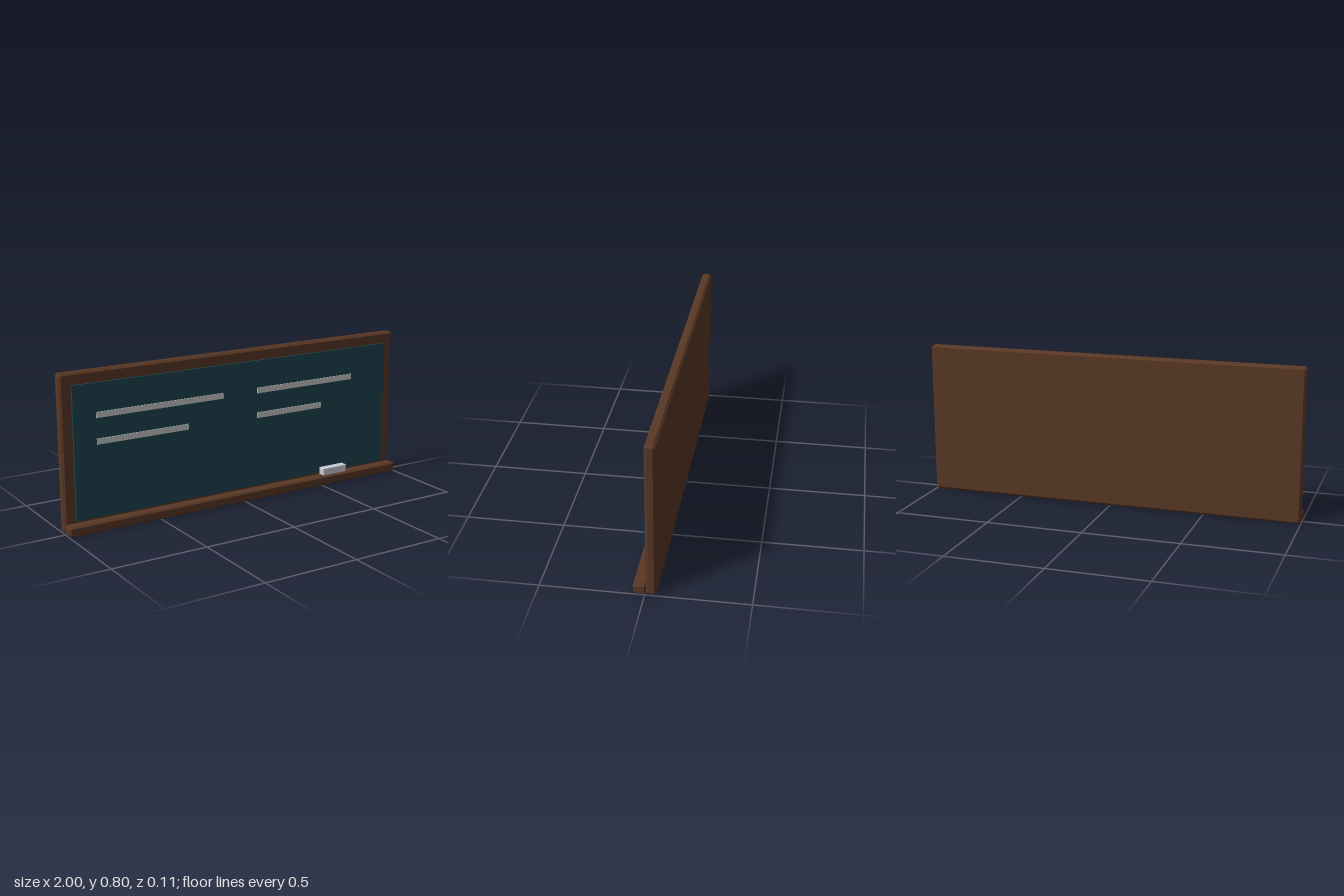
import * as THREE from 'three';
import { ConvexGeometry } from 'three/addons/geometries/ConvexGeometry.js';

const mat = (color) => new THREE.MeshStandardMaterial({ color, flatShading: true });

// Box with all twelve edges chamfered by c, given its min and max corners
function chamferBox(min, max, c) {
  const half = max.map((v, i) => (v - min[i]) / 2);
  const points = [];
  for (const sx of [-1, 1]) for (const sy of [-1, 1]) for (const sz of [-1, 1]) {
    for (let face = 0; face < 3; face++) {
      const p = [sx, sy, sz].map((s, i) => s * (half[i] - (i === face ? 0 : c)));
      points.push(new THREE.Vector3(...p));
    }
  }
  return new ConvexGeometry(points);
}

export function createModel() {
  const group = new THREE.Group();
  const wood = mat(0x5a3825);
  const slate = mat(0x1c4650);
  const chalk = mat(0xe8e8e8);
  const felt = mat(0xccccd6);

  const add = (name, material, min, max, chamfer = 0) => {
    const size = max.map((v, i) => v - min[i]);
    const geometry = chamfer ? chamferBox(min, max, chamfer) : new THREE.BoxGeometry(...size);
    const mesh = new THREE.Mesh(geometry, material);
    mesh.name = name;
    mesh.position.set(...min.map((v, i) => (v + max[i]) / 2));
    group.add(mesh);
  };

  // Solid wooden backing whose border shows as the frame
  add('frame', wood, [-1, 0, -0.056], [1, 0.797, -0.005], 0.011);
  // Writing surface
  add('board', slate, [-0.94, 0.06, -0.007], [0.94, 0.737, 0.006]);
  // Chalk tray along the bottom
  add('tray', wood, [-1, 0, -0.005], [1, 0.051, 0.056], 0.008);
  // Eraser resting on the tray
  add('eraser', felt, [0.51, 0.051, 0.006], [0.665, 0.092, 0.046], 0.003);

  // Chalk lines: left end, right end, centre height
  const lines = [
    [-0.82, -0.105, 0.578],
    [-0.82, -0.31, 0.445],
    [0.1, 0.71, 0.578],
    [0.1, 0.51, 0.445],
  ];
  lines.forEach(([x0, x1, y], i) =>
    add(`chalkLine${i + 1}`, chalk, [x0, y - 0.015, 0.002], [x1, y + 0.015, 0.01]));

  return group;
}
